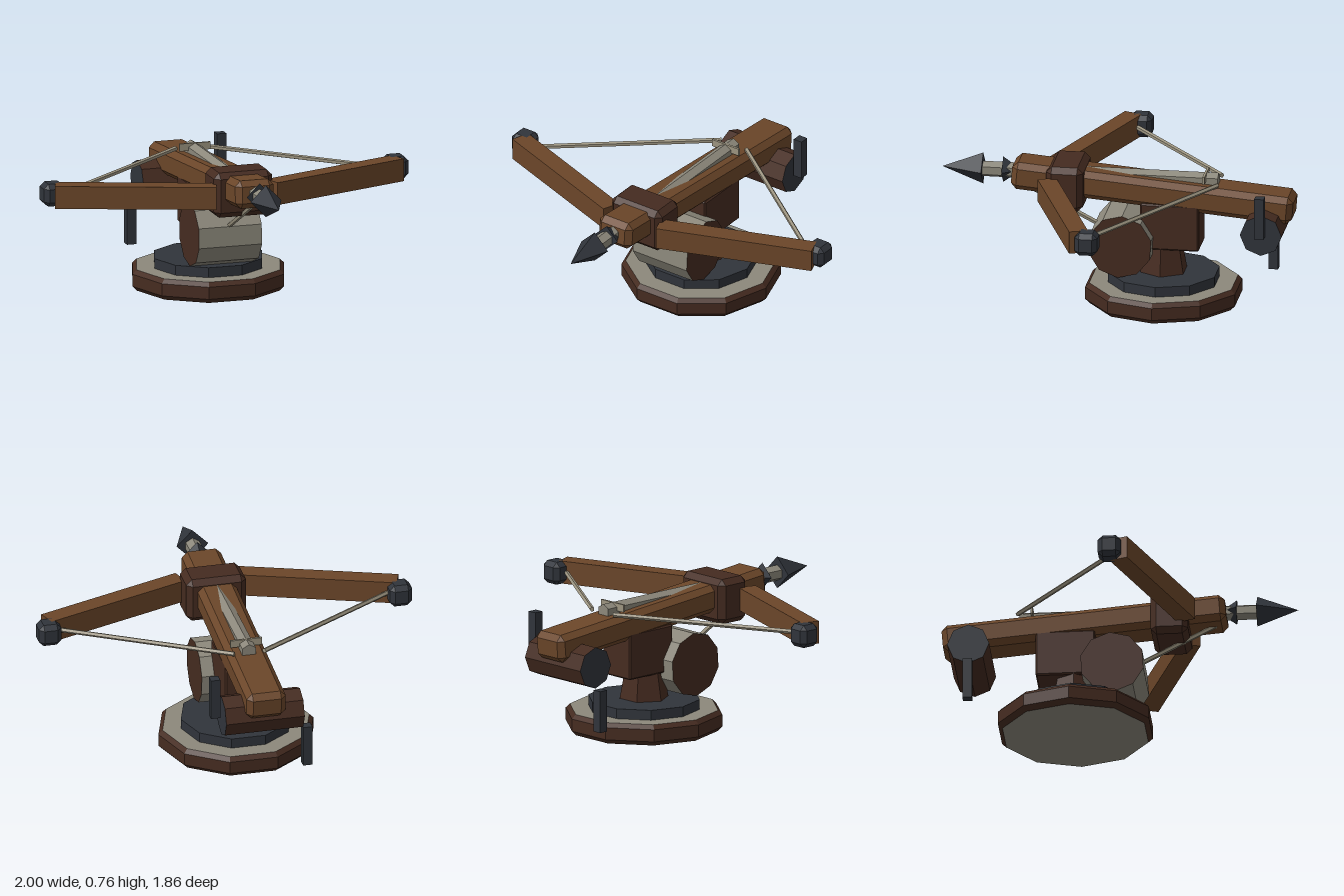
import * as THREE from 'three';
import { ConvexGeometry } from 'three/addons/geometries/ConvexGeometry.js';

const mat = (color) => new THREE.MeshStandardMaterial({ color, flatShading: true });

export function createModel() {
  const root = new THREE.Group();
  const wood = mat(0x6b4629), darkWood = mat(0x452b20), iron = mat(0x30343b);
  const stone = mat(0x8c887b), rope = mat(0x9c9480);

  const add = (name, geometry, material, x = 0, y = 0, z = 0) => {
    const mesh = new THREE.Mesh(geometry, material);
    mesh.name = name;
    mesh.position.set(x, y, z);
    root.add(mesh);
    return mesh;
  };

  // Box with every edge cut at 45 degrees
  const chamferBox = (w, h, d, c) => {
    const pts = [];
    for (const x of [-1, 1]) for (const y of [-1, 1]) for (const z of [-1, 1]) {
      for (let axis = 0; axis < 3; axis++) {
        const cut = [c, c, c];
        cut[axis] = 0;
        pts.push(new THREE.Vector3(x * (w / 2 - cut[0]), y * (h / 2 - cut[1]), z * (d / 2 - cut[2])));
      }
    }
    return new ConvexGeometry(pts);
  };

  // Thin rod between two points
  const rod = (name, a, b, r, material) => {
    const from = new THREE.Vector3(...a), to = new THREE.Vector3(...b);
    const dir = to.clone().sub(from);
    const mesh = add(name, new THREE.CylinderGeometry(r, r, dir.length(), 5), material);
    mesh.position.copy(from).add(to).multiplyScalar(0.5);
    mesh.quaternion.setFromUnitVectors(new THREE.Vector3(0, 1, 0), dir.normalize());
  };

  // Round base: bevelled wooden rim with stone faces, then an iron turntable
  const baseZ = -0.235;
  const disc = (name, rTop, rBottom, y0, y1, material, sides = 10) =>
    add(name, new THREE.CylinderGeometry(rTop, rBottom, y1 - y0, sides).rotateY(Math.PI / 2),
      material, 0, (y0 + y1) / 2, baseZ);
  disc('baseLowerRim', 0.415, 0.39, 0, 0.025, [darkWood, stone, stone]);
  disc('baseRim', 0.415, 0.415, 0.025, 0.09, darkWood);
  disc('baseUpperRim', 0.393, 0.415, 0.09, 0.112, [darkWood, stone, stone]);
  disc('turntable', 0.295, 0.295, 0.112, 0.165, iron);

  // Pedestal and mounting block
  disc('pedestal', 0.1, 0.13, 0.165, 0.33, darkWood, 6);
  add('mountBlock', chamferBox(0.21, 0.25, 0.31, 0.008), darkWood, 0, 0.43, -0.28);

  // Counterweight drum with wooden end faces
  add('drum', new THREE.CylinderGeometry(0.17, 0.17, 0.345, 10, 1, false, 0.384).rotateZ(Math.PI / 2),
    [stone, darkWood, darkWood], 0, 0.335, -0.03);
  rod('drumStay', [0, 0.6, 0.5], [0, 0.39, 0.09], 0.013, rope);

  // Tilted main beam and the collar that holds the bow
  add('beam', chamferBox(0.21, 0.148, 1.485, 0.03), wood, 0, 0.607, -0.185).rotation.x = -0.084;
  add('collar', chamferBox(0.32, 0.24, 0.195, 0.03), darkWood, 0, 0.624, 0.267);

  // Bow arms, iron tips and string, mirrored
  for (const s of [1, -1]) {
    const side = s > 0 ? 'left' : 'right';
    add(side + 'BowArm', new THREE.BoxGeometry(0.84, 0.12, 0.1), wood, s * 0.546, 0.625, 0.213).rotation.y = s * 0.35;
    add(side + 'BowTip', chamferBox(0.12, 0.12, 0.12, 0.025), iron, s * 0.94, 0.625, 0.025);
    rod(side + 'BowString', [s * 0.89, 0.625, 0.045], [s * 0.08, 0.67, -0.53], 0.013, rope);
  }
  add('stringCatch', new THREE.BoxGeometry(0.17, 0.04, 0.012), rope, 0, 0.692, -0.457);

  // Bolt: hexagonal shaft, four-sided head and collar flare
  const alongZ = (rFront, rBack, length, sides) =>
    new THREE.CylinderGeometry(rFront, rBack, length, sides).rotateX(Math.PI / 2);
  add('boltShaft', alongZ(0.042, 0.042, 1.25, 6), stone, 0, 0.67, 0.1);
  add('boltHead', alongZ(0, 0.085, 0.215, 4), iron, 0, 0.672, 0.823);
  add('boltFlare', alongZ(0.07, 0.02, 0.07, 4), iron, 0, 0.672, 0.575);

  // Winch at the rear with opposed handles
  add('winch', new THREE.CylinderGeometry(0.11, 0.11, 0.42, 8).rotateZ(Math.PI / 2),
    [darkWood, iron, iron], 0, 0.45, -0.778);
  for (const s of [1, -1]) {
    add(s > 0 ? 'leftWinchHandle' : 'rightWinchHandle', new THREE.BoxGeometry(0.05, 0.222, 0.05), iron,
      s * 0.247, s > 0 ? 0.561 : 0.227, -0.778);
  }
  return root;
}
